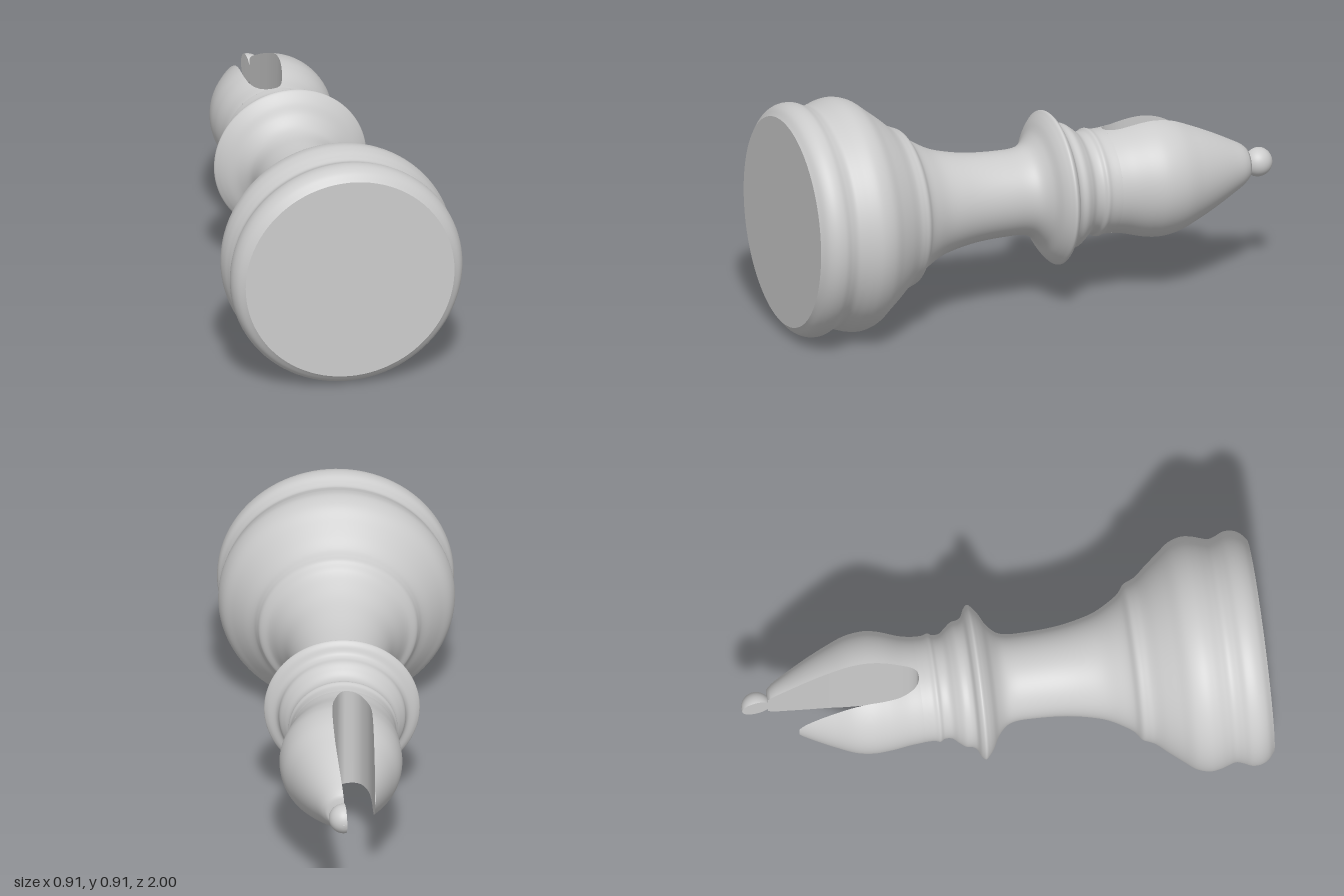
import * as THREE from 'three';

const grey = new THREE.MeshStandardMaterial({ color: 0xcccccc, side: THREE.DoubleSide });

// Profiles as [distance from axis, height along axis]
const BODY = [
  [.408, -1], [.437, -.975], [.451, -.945], [.451, -.91], [.438, -.88], [.43, -.852], [.437, -.825],
  [.448, -.79], [.4525, -.75], [.438, -.7], [.4, -.65], [.36, -.6], [.322, -.555], [.31, -.53],
  [.3, -.508], [.267, -.482], [.235, -.435], [.207, -.38], [.185, -.3], [.172, -.22], [.166, -.115],
  [.168, -.035], [.18, 0], [.215, .035], [.26, .06], [.285, .079], [.298, .095], [.285, .11],
  [.255, .125], [.245, .14], [.24, .165], [.222, .19], [.202, .215], [.2, .243], [.209, .26],
  [.203, .28], [.203, .32],
];
const HEAD = [
  [.203, .32], [.21, .37], [.229, .45], [.235, .51], [.225, .58], [.193, .66], [.155, .74],
  [.112, .82], [.08, .875], [.06, .897],
];
// Slot walls as [x, height]
const SLOT_LEFT = [
  [.0471, .53], [.042, .65], [.03, .76], [.012, .9], [0, 1.01],
];
const SLOT_LEFT_FOOT = [[-.02, .32], [-.002, .323], [.01, .333], [.02, .35], [.033, .4], [.042, .45]];
const SLOT_RIGHT = [
  [-.02, .32], [-.038, .323], [-.055, .333], [-.07, .35], [-.093, .4], [-.104, .46], [-.108, .55],
  [-.11, .7], [-.11, .9],
];

function smooth(points, n) {
  const curve = new THREE.CatmullRomCurve3(points.map(([a, b]) => new THREE.Vector3(a, b, 0)));
  return curve.getPoints(n).map((p) => new THREE.Vector2(p.x, p.y));
}

// Returns a function that looks up the first coordinate at a given height
function lookup(points) {
  const pts = smooth(points, 300);
  return (h) => {
    let i = 1;
    while (i < pts.length - 1 && pts[i].y < h) i++;
    const a = pts[i - 1], b = pts[i];
    const t = THREE.MathUtils.clamp((h - a.y) / (b.y - a.y || 1), 0, 1);
    return a.x + (b.x - a.x) * t;
  };
}

// Surface through rows of equally many points
function surface(rows, flip) {
  const n = rows[0].length, index = [];
  for (let i = 0; i < rows.length - 1; i++) {
    for (let j = 0; j < n - 1; j++) {
      const a = i * n + j, b = a + 1, c = a + n, d = c + 1;
      if (flip) index.push(a, b, c, b, d, c);
      else index.push(a, c, b, b, c, d);
    }
  }
  const geo = new THREE.BufferGeometry();
  geo.setAttribute('position', new THREE.Float32BufferAttribute(rows.flat(2), 3));
  geo.setIndex(index);
  geo.computeVertexNormals();
  return geo;
}

function addMesh(parent, geometry, name) {
  const mesh = new THREE.Mesh(geometry, grey);
  mesh.name = name;
  parent.add(mesh);
  return mesh;
}

// One side (+1 or -1 in x) of a turned shape cut along a curved wall
function clippedSide(parent, name, rings, wall, side) {
  const skin = [], cut = [], n = 64;
  for (const { r, h, cx } of rings) {
    const x = wall(h);
    const cos = THREE.MathUtils.clamp(side * (x - cx) / r, -1, 1);
    const a = Math.acos(cos);
    if (a === 0) continue;
    const arc = [], line = [];
    for (let j = 0; j <= n; j++) {
      const t = a * (2 * j / n - 1);
      arc.push([cx + side * r * Math.cos(t), h, r * Math.sin(t)]);
    }
    for (let j = 0; j <= 4; j++) {
      line.push([cx + side * r * cos, h, r * Math.sin(a) * (j / 2 - 1)]);
    }
    skin.push(arc);
    cut.push(line);
  }
  addMesh(parent, surface(skin, side < 0), name);
  addMesh(parent, surface(cut, side > 0), name + 'SlotWall');
}

export function createModel() {
  const model = new THREE.Group();
  model.name = 'chessBishop';

  // The piece is turned upright, then laid down with its foot to the front
  const piece = new THREE.Group();
  piece.name = 'piece';
  piece.rotation.x = -Math.PI / 2;
  piece.position.y = .4535;
  model.add(piece);

  // Turned foot, stem and collars
  addMesh(piece, new THREE.LatheGeometry(smooth(BODY, 220), 96), 'body');
  const foot = addMesh(piece, new THREE.CircleGeometry(.408, 96), 'footUnderside');
  foot.rotation.x = Math.PI / 2;
  foot.position.y = -1;

  // Slotted head, leaning very slightly to the left
  const lean = (h) => .014 * THREE.MathUtils.smoothstep(h, .32, .5);
  const radius = lookup(HEAD);
  const headRings = [];
  for (let i = 0; i <= 90; i++) {
    const h = .32 + .577 * (i / 90) ** 1.7;
    headRings.push({ r: radius(h), h, cx: lean(h) });
  }
  headRings.push({ r: .01, h: .9, cx: lean(.9) });
  const leftWall = lookup([...SLOT_LEFT_FOOT, ...SLOT_LEFT]);
  clippedSide(piece, 'headLeft', headRings, leftWall, 1);
  clippedSide(piece, 'headRight', headRings, lookup(SLOT_RIGHT), -1);

  // Ball on the tip, shaved by the same slot
  const ballRings = [];
  for (let i = 0; i <= 32; i++) {
    const t = Math.PI * (.01 + .98 * i / 32);
    ballRings.push({ r: .057 * Math.sin(t), h: .943 - .057 * Math.cos(t), cx: .014 });
  }
  clippedSide(piece, 'tipBall', ballRings, leftWall, 1);

  return model;
}
